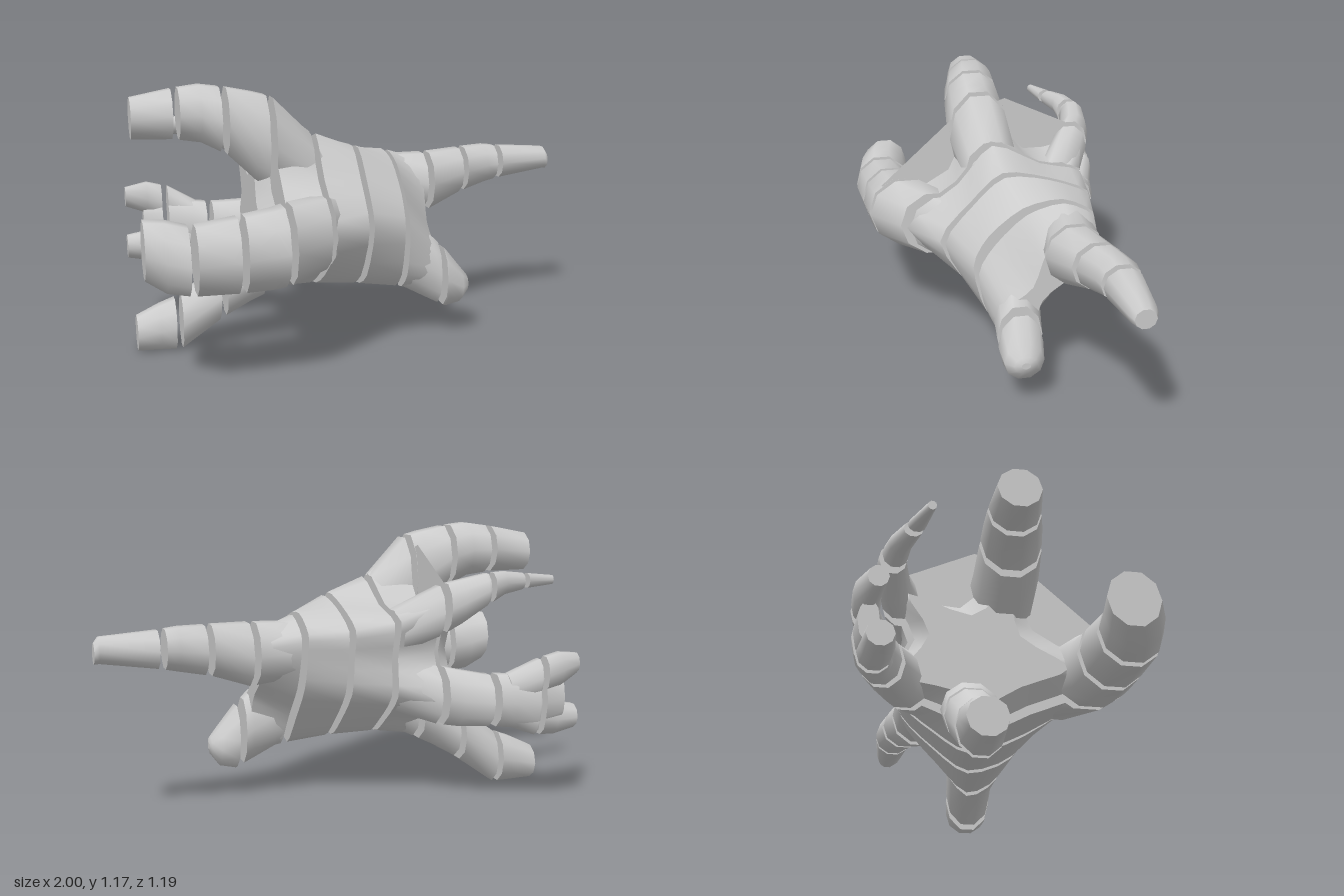
import * as THREE from 'three';

const material = new THREE.MeshStandardMaterial({ color: 0xcccccc });
const webMaterial = new THREE.MeshStandardMaterial({ color: 0xcccccc, side: THREE.DoubleSide });

// Slabs along x, parted by narrow gaps; the last slab runs to the tip
const PITCH = 0.1945, GAP = 0.028, COUNT = 10;
const slabs = Array.from({ length: COUNT }, (_, i) => {
  const gap = -0.82 + (i - 1) * PITCH;
  return [Math.max(-1, gap + GAP / 2), i === COUNT - 1 ? 1 : gap + PITCH - GAP / 2];
});

// Ring of [z, y] points around an ellipse
function ellipse(y, z, ry, rz, sides = 10) {
  return Array.from({ length: sides }, (_, i) => {
    const t = (i / sides) * Math.PI * 2;
    return [z + rz * Math.cos(t), y + ry * Math.sin(t)];
  });
}

// Smooth closed ring through a few [z, y] points
function smoothRing(points) {
  const curve = new THREE.CatmullRomCurve3(
    points.map(([z, y]) => new THREE.Vector3(z, y, 0)), true, 'catmullrom', 0.4);
  return Array.from({ length: 30 }, (_, i) => {
    const p = curve.getPoint(i / 30);
    return [p.x, p.y];
  });
}

function ringAt(stations, x) {
  let i = 0;
  while (i < stations.length - 2 && x > stations[i + 1].x) i++;
  const a = stations[i], b = stations[i + 1];
  const t = (x - a.x) / (b.x - a.x);
  return a.ring.map(([z, y], k) => [z + (b.ring[k][0] - z) * t, y + (b.ring[k][1] - y) * t]);
}

// Skin between rings, closed with flat caps
function loft(xs, rings) {
  const n = rings[0].length, pos = [], index = [];
  const add = (x, ring) => ring.forEach(([z, y]) => pos.push(x, y, z));
  rings.forEach((ring, r) => add(xs[r], ring));
  for (let r = 0; r < rings.length - 1; r++) {
    for (let i = 0; i < n; i++) {
      const a = r * n + i, b = r * n + (i + 1) % n;
      index.push(a, a + n, b, b, a + n, b + n);
    }
  }
  for (const r of [0, rings.length - 1]) {
    const base = pos.length / 3;
    add(xs[r], rings[r]);
    const contour = rings[r].map(([z, y]) => new THREE.Vector2(z, y));
    for (const [a, b, c] of THREE.ShapeUtils.triangulateShape(contour, [])) {
      if (r === 0) index.push(base + a, base + b, base + c);
      else index.push(base + a, base + c, base + b);
    }
  }
  const geometry = new THREE.BufferGeometry();
  geometry.setAttribute('position', new THREE.Float32BufferAttribute(pos, 3));
  geometry.setIndex(index);
  geometry.computeVertexNormals();
  return geometry;
}

// One part cut into its slabs
function slicedPart(name, stations) {
  const group = new THREE.Group();
  group.name = name;
  const first = stations[0].x, last = stations[stations.length - 1].x;
  for (const [start, end] of slabs) {
    const a = Math.max(start, first), b = Math.min(end, last);
    if (b - a < 0.004) continue;
    const inner = stations.map(s => s.x).filter(x => x > a + 0.002 && x < b - 0.002);
    const xs = [a, ...inner, b];
    const mesh = new THREE.Mesh(loft(xs, xs.map(x => ringAt(stations, x))), material);
    mesh.name = name + 'Slice';
    group.add(mesh);
  }
  return group;
}

// Branch stations: x, y, z, half height, half depth
const branches = {
  frontBranch: [
    [-1, 0.595, 0.435, 0.12, 0.105], [-0.92, 0.57, 0.455, 0.145, 0.12], [-0.82, 0.55, 0.467, 0.14, 0.128],
    [-0.62, 0.557, 0.442, 0.157, 0.135], [-0.5, 0.565, 0.425, 0.165, 0.142], [-0.42, 0.57, 0.385, 0.168, 0.175],
    [-0.25, 0.58, 0.27, 0.155, 0.165], [-0.12, 0.58, 0.12, 0.11, 0.12],
  ],
  topBranch: [
    [-1, 1.045, 0.015, 0.088, 0.088], [-0.83, 1.06, 0.025, 0.107, 0.107], [-0.72, 1.06, 0.037, 0.123, 0.12],
    [-0.61, 1.025, 0.045, 0.145, 0.13], [-0.5, 0.96, 0.045, 0.19, 0.137], [-0.42, 0.92, 0.04, 0.21, 0.14],
    [-0.25, 0.8, 0.01, 0.16, 0.13], [-0.12, 0.72, -0.02, 0.12, 0.11],
  ],
  backUpperBranch: [
    [-0.98, 0.945, -0.315, 0.02, 0.017], [-0.83, 0.95, -0.36, 0.033, 0.037], [-0.7, 0.95, -0.41, 0.05, 0.047],
    [-0.6, 0.925, -0.435, 0.072, 0.058], [-0.5, 0.88, -0.42, 0.095, 0.07], [-0.42, 0.84, -0.38, 0.11, 0.085],
    [-0.25, 0.74, -0.28, 0.1, 0.1],
  ],
  backLowerBranch: [
    [-0.92, 0.47, -0.53, 0.09, 0.04], [-0.8, 0.46, -0.52, 0.125, 0.068], [-0.7, 0.465, -0.5, 0.117, 0.08],
    [-0.6, 0.465, -0.455, 0.115, 0.092], [-0.5, 0.47, -0.4, 0.125, 0.102], [-0.42, 0.48, -0.35, 0.13, 0.11],
    [-0.25, 0.52, -0.25, 0.12, 0.11],
  ],
  upperFork: [
    [-1, 0.61, -0.505, 0.045, 0.04], [-0.9, 0.595, -0.54, 0.075, 0.053], [-0.8, 0.565, -0.54, 0.08, 0.055],
    [-0.68, 0.51, -0.5, 0.07, 0.06],
  ],
  lowerFork: [
    [-1, 0.38, -0.49, 0.053, 0.053], [-0.9, 0.378, -0.495, 0.072, 0.065], [-0.8, 0.39, -0.505, 0.078, 0.068],
    [-0.68, 0.43, -0.49, 0.075, 0.068],
  ],
  bottomBranch: [
    [-1, 0.085, -0.11, 0.078, 0.078], [-0.9, 0.107, -0.11, 0.104, 0.088], [-0.81, 0.122, -0.11, 0.122, 0.094],
    [-0.62, 0.255, -0.11, 0.122, 0.114], [-0.5, 0.33, -0.1, 0.13, 0.122], [-0.34, 0.415, -0.08, 0.14, 0.12],
    [-0.12, 0.46, -0.05, 0.12, 0.1],
  ],
  longTail: [
    [0.14, 0.685, -0.235, 0.12, 0.11], [0.36, 0.672, -0.225, 0.136, 0.128], [0.53, 0.705, -0.275, 0.107, 0.107],
    [0.67, 0.722, -0.315, 0.092, 0.092], [0.74, 0.725, -0.32, 0.08, 0.084], [0.98, 0.733, -0.325, 0.054, 0.058],
    [1, 0.72, -0.33, 0.042, 0.044],
  ],
  shortTail: [
    [0.14, 0.41, -0.01, 0.16, 0.11], [0.3, 0.32, 0, 0.155, 0.1], [0.37, 0.268, 0.003, 0.138, 0.097],
    [0.44, 0.232, 0.003, 0.085, 0.086], [0.475, 0.235, 0.003, 0.04, 0.05], [0.482, 0.235, 0.003, 0.015, 0.02],
  ],
};

// Body sections: five lobes and the hollows between them, as [z, y] points
const body = [
  [-0.5, [[0.3, 0.55], [0.1, 0.68], [0.05, 0.88], [-0.1, 0.76], [-0.36, 0.84],
    [-0.27, 0.66], [-0.38, 0.47], [-0.18, 0.42], [-0.1, 0.33], [0.1, 0.45]]],
  [-0.42, [[0.54, 0.57], [0.19, 0.77], [0.05, 1.1], [-0.16, 0.85], [-0.44, 0.88],
    [-0.35, 0.66], [-0.45, 0.46], [-0.21, 0.35], [-0.09, 0.25], [0.15, 0.37]]],
  [-0.25, [[0.43, 0.58], [0.18, 0.78], [0.02, 0.96], [-0.2, 0.85], [-0.39, 0.8],
    [-0.36, 0.64], [-0.37, 0.48], [-0.22, 0.35], [-0.07, 0.27], [0.16, 0.36]]],
  [-0.04, [[0.27, 0.58], [0.14, 0.76], [0, 0.88], [-0.2, 0.85], [-0.38, 0.77],
    [-0.37, 0.65], [-0.34, 0.5], [-0.2, 0.36], [-0.05, 0.26], [0.14, 0.34]]],
  [0.14, [[0.165, 0.54], [0.1, 0.68], [-0.05, 0.8], [-0.22, 0.83], [-0.355, 0.76],
    [-0.35, 0.66], [-0.3, 0.52], [-0.17, 0.37], [-0.03, 0.235], [0.11, 0.32]]],
  [0.31, [[0.05, 0.42], [-0.06, 0.51], [-0.12, 0.68], [-0.22, 0.78], [-0.33, 0.73],
    [-0.32, 0.64], [-0.22, 0.54], [-0.1, 0.44], [-0.01, 0.2], [0.08, 0.29]]],
];

export function createModel() {
  const model = new THREE.Group();
  model.name = 'slicedBranchingForm';
  model.add(slicedPart('body', body.map(([x, points]) => ({ x, ring: smoothRing(points) }))));
  for (const [name, rows] of Object.entries(branches)) {
    model.add(slicedPart(name, rows.map(([x, ...e]) => ({ x, ring: ellipse(...e) }))));
  }

  // Flat web closing the slab where the branches part
  const outline = [[0.17, 1], [0.5, 0.7], [0.2, 0.5], [-0.25, 0.55], [-0.42, 0.93], [-0.08, 1.09]];
  const web = new THREE.Mesh(
    new THREE.ShapeGeometry(new THREE.Shape(outline.map(([z, y]) => new THREE.Vector2(-z, y)))), webMaterial);
  web.name = 'web';
  web.rotation.y = Math.PI / 2;
  web.position.x = -0.446;
  model.add(web);
  return model;
}
